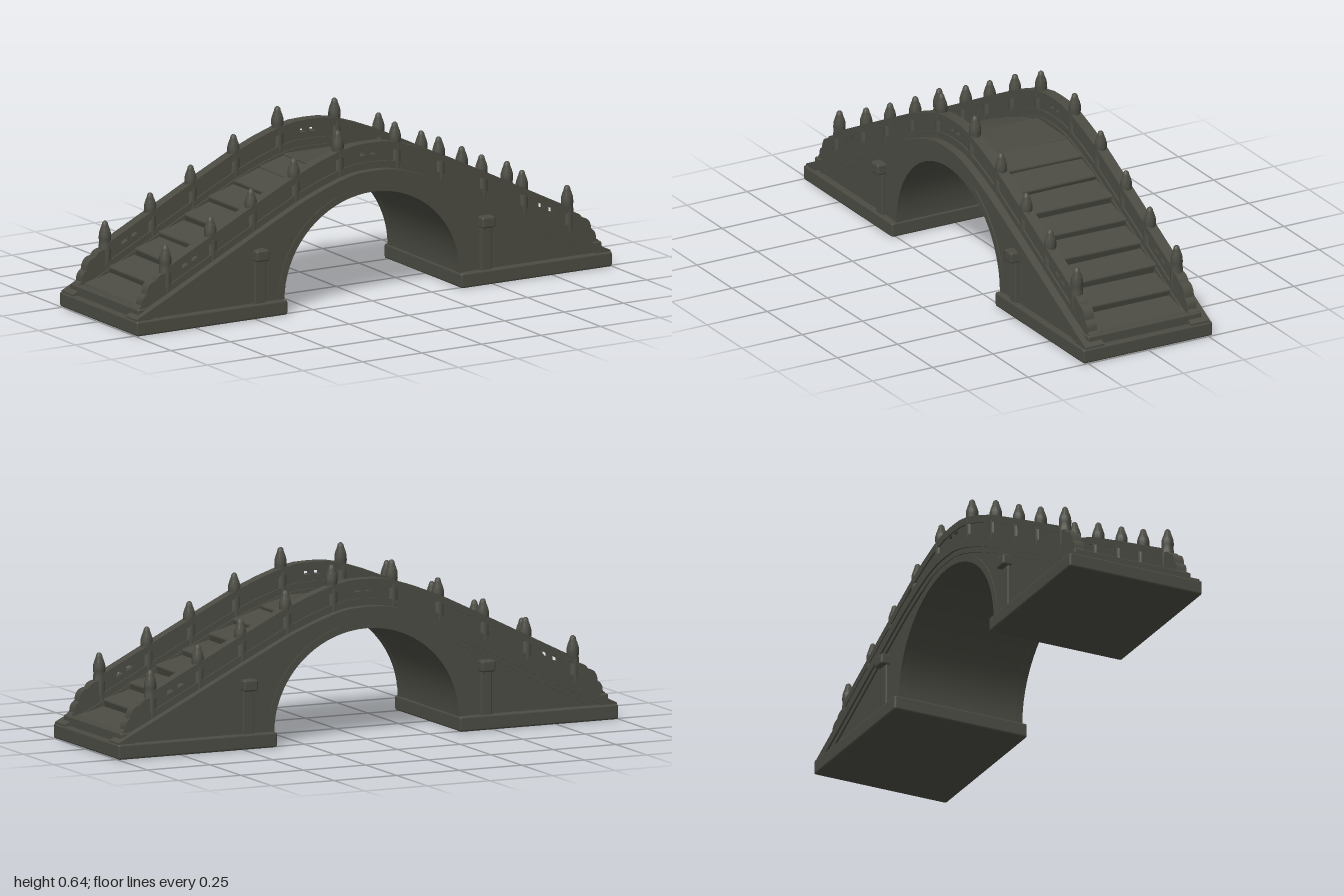
import * as THREE from 'three';
import { toCreasedNormals } from 'three/addons/utils/BufferGeometryUtils.js';
import { RoundedBoxGeometry } from 'three/addons/geometries/RoundedBoxGeometry.js';

const V = (x, y) => new THREE.Vector2(x, y);

// Height of the side coping at distance |x| from the crown
const SLOPE = [[0, 0.483], [0.06, 0.481], [0.12, 0.47], [0.21, 0.44], [0.31, 0.4], [0.49, 0.312], [0.66, 0.227], [0.85, 0.132], [1, 0.058]];
function topY(x) {
  const a = Math.min(Math.abs(x), 1);
  let i = 0;
  while (i < SLOPE.length - 2 && a > SLOPE[i + 1][0]) i++;
  const [x0, y0] = SLOPE[i], [x1, y1] = SLOPE[i + 1];
  return y0 + (y1 - y0) * (a - x0) / (x1 - x0);
}

// Points following the slope from x0 to x1, raised by dy
function along(x0, x1, dy, n = 40) {
  return Array.from({ length: n + 1 }, (_, i) => {
    const x = x0 + (x1 - x0) * i / n;
    return V(x, topY(x) + dy);
  });
}

// Points over the arch opening, from right springing to left
function archPoints(rx, ry, n = 36) {
  return Array.from({ length: n + 1 }, (_, i) => {
    const t = Math.PI * i / n;
    return V(rx * Math.cos(t), 0.052 + ry * Math.sin(t));
  });
}

export function createModel() {
  const model = new THREE.Group();
  const stone = new THREE.MeshStandardMaterial({ color: 0x4b4b43 });
  stone.name = 'darkStone';
  let seed = 7;
  const rand = () => (seed = (seed * 16807) % 2147483647) / 2147483647 - 0.5;

  function add(name, geometry, x = 0, y = 0, z = 0, parent = model) {
    const mesh = new THREE.Mesh(geometry, stone);
    mesh.name = name;
    mesh.position.set(x, y, z);
    parent.add(mesh);
    return mesh;
  }
  function extrude(points, z0, z1, holes = []) {
    const shape = new THREE.Shape(points);
    holes.forEach((h) => shape.holes.push(new THREE.Path(h)));
    const g = new THREE.ExtrudeGeometry(shape, { depth: z1 - z0, bevelEnabled: false });
    g.translate(0, 0, z0);
    return toCreasedNormals(g, 0.5);
  }
  const band = (x0, x1, lo, hi, z0, z1, n) =>
    extrude([...along(x0, x1, lo, n), ...along(x0, x1, hi, n).reverse()], z0, z1);
  const block = (w, h, d, r = 0.006) => new RoundedBoxGeometry(w, h, d, 1, r);

  // Solid core with the arch cut through
  add('bridgeBody', extrude([
    V(-0.98, 0.045), V(-0.37, 0.045), ...archPoints(0.37, 0.352).reverse(), V(0.37, 0.045), V(0.98, 0.045),
    ...along(0.98, -0.98, -0.028),
  ], -0.245, 0.245));

  // Foundations and end sills
  for (const s of [-1, 1]) {
    add('foundation', block(0.635, 0.055, 0.536, 0.008), s * 0.6825, 0.0275, 0);
    add('endSill', block(0.06, 0.04, 0.47), s * 0.945, 0.07, 0);
  }

  // Broad stair treads, worn and uneven
  const count = 8, pitch = 0.835 / count;
  for (const s of [-1, 1]) {
    for (let i = 0; i < count; i++) {
      const x = 0.1 + pitch * (i + 0.5);
      const tread = add('stairTread', block(pitch + 0.012, 0.06, 0.4, 0.008), s * x, topY(x) - 0.039 + rand() * 0.006, 0);
      tread.rotation.set(rand() * 0.02, rand() * 0.05, -s * (0.28 + rand() * 0.12));
    }
  }
  add('crownSlab', block(0.22, 0.05, 0.4), 0, 0.443, 0);

  // Railing posts: distance from the crown and height of the tip
  const postXs = [0.12, 0.305, 0.485, 0.655, 0.845];
  const postTops = [0.637, 0.558, 0.468, 0.388, 0.308];
  const allX = [...postXs.map((x) => -x).reverse(), ...postXs];

  const postProfile = [[0.023, -0.22], [0.0225, -0.085], [0.0205, -0.076], [0.0225, -0.064],
    [0.022, -0.045], [0.018, -0.03], [0.0125, -0.016], [0.01, -0.005], [0.005, 0], [0, 0]].map((p) => V(...p));
  const postGeometry = toCreasedNormals(new THREE.LatheGeometry(postProfile, 12), 0.8);

  // Stepped, rounded stone closing the foot of each rail
  function scroll(s) {
    const p = new THREE.Path();
    p.moveTo(0.84, 0.09);
    p.lineTo(0.84, 0.208);
    p.quadraticCurveTo(0.885, 0.212, 0.895, 0.185);
    p.quadraticCurveTo(0.932, 0.183, 0.935, 0.138);
    p.quadraticCurveTo(0.955, 0.13, 0.955, 0.1);
    p.quadraticCurveTo(0.972, 0.095, 0.972, 0.06);
    return p.getPoints(6).map((q) => V(s * q.x, q.y));
  }

  // Each long side, built towards +z or -z
  for (const side of [-1, 1]) {
    const face = new THREE.Group();
    face.name = side > 0 ? 'frontSide' : 'backSide';
    model.add(face);
    const sided = (name, make, a, b) => add(name, make(Math.min(side * a, side * b), Math.max(side * a, side * b)), 0, 0, 0, face);

    // Coping and the fillet below it
    sided('coping', (a, b) => band(-0.995, 0.995, -0.036, 0, a, b, 60), 0.18, 0.259);
    sided('copingFillet', (a, b) => band(-0.9, 0.9, -0.056, -0.03, a, b, 60), 0.22, 0.252);

    // Raised ring around the arch
    sided('archRing', (a, b) => extrude([...archPoints(0.369, 0.351), ...archPoints(0.393, 0.378).reverse()], a, b), 0.22, 0.249);

    // Pilasters with projecting beam ends
    for (const s of [-1, 1]) {
      add('pilaster', block(0.046, 0.2, 0.04), s * 0.475, 0.14, side * 0.239, face);
      add('beamEnd', block(0.056, 0.042, 0.09, 0.008), s * 0.475, 0.233, side * 0.235, face);
    }

    // Rail curb, handrail and panels
    sided('railCurb', (a, b) => band(-0.88, 0.88, -0.01, 0.026, a, b, 60), 0.186, 0.228);
    for (let i = 0; i < allX.length - 1; i++) {
      const x0 = allX[i], x1 = allX[i + 1], mid = (x0 + x1) / 2;
      sided('handrail', (a, b) => band(x0, x1, 0.068, 0.096, a, b, 8), 0.186, 0.228);

      // Every fourth panel is pierced by two small slots under the handrail
      const slots = (i % 4 ? [] : [-1, 1]).map((s) => {
        const a = mid + s * 0.007, b = mid + s * 0.034;
        return [V(a, topY(a) + 0.05), V(b, topY(b) + 0.05), V(b, topY(b) + 0.064), V(a, topY(a) + 0.064)];
      });
      sided('railPanel', (a, b) => extrude(
        [...along(x0, x1, 0, 8), ...along(x0, x1, 0.08, 8).reverse()], a, b, slots), 0.192, 0.222);
    }

    // Posts with bud finials, and the rail ends
    postXs.forEach((x, i) => {
      for (const s of [-1, 1]) add('railPost', postGeometry, s * x, postTops[i], side * 0.207, face);
    });
    for (const s of [-1, 1]) sided('railScroll', (a, b) => extrude(scroll(s), a, b), 0.187, 0.227);
  }
  return model;
}
